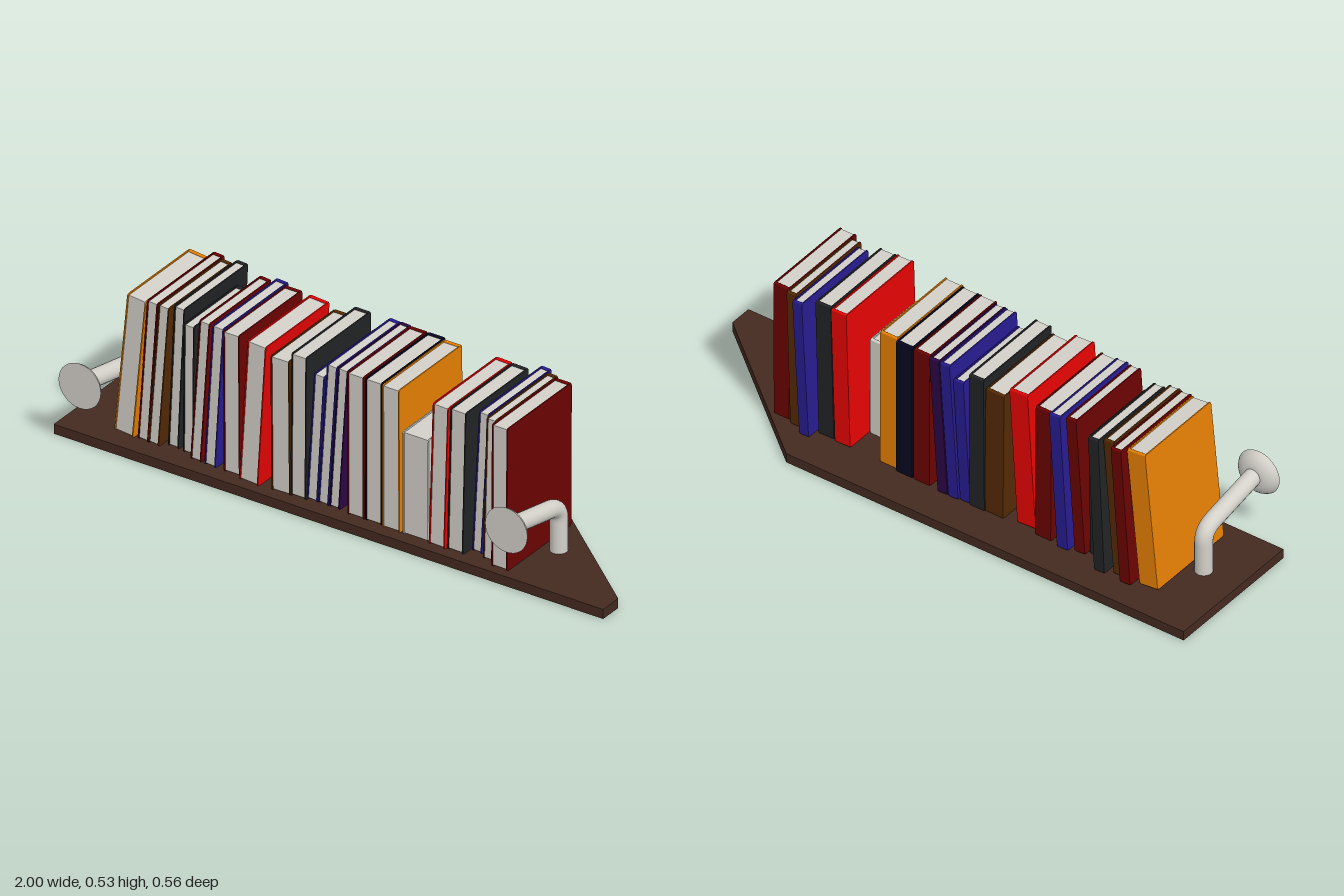
import * as THREE from 'three';
import { RoundedBoxGeometry } from 'three/addons/geometries/RoundedBoxGeometry.js';

const mat = (name, color) => {
  const m = new THREE.MeshStandardMaterial({ color });
  m.name = name;
  return m;
};

export function createModel() {
  const M = {
    wood: mat('dark wood', 0x442a20), white: mat('off white', 0xd4d1ca),
    maroon: mat('maroon', 0x6c0202), red: mat('red', 0xfa0404),
    orange: mat('orange', 0xfc8c04), brown: mat('brown', 0x552a04),
    blue: mat('blue', 0x281c90), black: mat('black', 0x222325),
    navy: mat('navy', 0x080720), purple: mat('purple', 0x2c0644),
  };
  const group = new THREE.Group();
  const add = (parent, name, geo, material, x = 0, y = 0, z = 0) => {
    const mesh = new THREE.Mesh(geo, material);
    mesh.name = name;
    mesh.position.set(x, y, z);
    parent.add(mesh);
    return mesh;
  };

  // Shelf board with one slanted corner
  const T = 0.033;
  const outline = new THREE.Shape(
    [[-1, -0.226], [1, -0.226], [1, -0.145], [0.485, 0.281], [-1, 0.281]].map(p => new THREE.Vector2(...p)));
  const board = new THREE.ExtrudeGeometry(outline, { depth: T, bevelEnabled: false });
  board.rotateX(-Math.PI / 2);
  add(group, 'shelf', board, M.wood);

  // Cover board with rounded corners, standing in the yz plane; x runs 0..t
  const coverBoard = (h, d, t, r = 0.01) => {
    const s = new THREE.Shape();
    s.moveTo(r, 0);
    s.lineTo(d - r, 0); s.quadraticCurveTo(d, 0, d, r);
    s.lineTo(d, h - r); s.quadraticCurveTo(d, h, d - r, h);
    s.lineTo(r, h); s.quadraticCurveTo(0, h, 0, h - r);
    s.lineTo(0, r); s.quadraticCurveTo(0, 0, r, 0);
    const g = new THREE.ExtrudeGeometry(s, { depth: t, bevelEnabled: false, curveSegments: 4 });
    g.rotateY(-Math.PI / 2);
    return g.translate(t, 0, 0);
  };

  // Book: two covers, a spine at the back and a page block; leans about its lower right edge
  function book(color, x0, x1, w, h, zBack, zFront) {
    const b = new THREE.Group(), d = zFront - zBack, c = 0.004;
    const cover = coverBoard(h, d, c);
    add(b, 'leftCover', cover, M[color], -w, 0, 0);
    add(b, 'rightCover', cover, M[color], -c, 0, 0);
    add(b, 'spine', new RoundedBoxGeometry(w, h, 0.012, 2, 0.004), M[color], -w / 2, h / 2, 0.006);
    add(b, 'pages', new THREE.BoxGeometry(w - 2 * c, h - 0.01, d - 0.012), M.white,
      -w / 2, h / 2, 0.008 + (d - 0.012) / 2);
    b.name = 'book';
    b.position.set(x0 + w, T + 0.001, zBack);
    b.rotation.z = -Math.atan2(x1 - x0, h);
    group.add(b);
  }

  // colour, left edge at bottom, left edge at top, width, height, back z, front z
  [
    ['orange', -0.822, -0.774, 0.068, 0.49, -0.17, 0.165],
    ['maroon', -0.738, -0.703, 0.038, 0.493, -0.197, 0.163],
    ['brown', -0.698, -0.66, 0.038, 0.493, -0.175, 0.165],
    ['black', -0.64, -0.617, 0.038, 0.493, -0.195, 0.145],
    ['black', -0.582, -0.579, 0.038, 0.446, -0.137, 0.15],
    ['maroon', -0.538, -0.505, 0.038, 0.493, -0.155, 0.175],
    ['blue', -0.485, -0.455, 0.04, 0.493, -0.17, 0.178],
    ['maroon', -0.414, -0.417, 0.059, 0.487, -0.16, 0.178],
    ['red', -0.345, -0.315, 0.068, 0.492, -0.143, 0.197],
    ['brown', -0.232, -0.236, 0.068, 0.465, -0.155, 0.19],
    ['black', -0.166, -0.163, 0.055, 0.494, -0.16, 0.185],
    ['blue', -0.112, -0.085, 0.038, 0.446, -0.157, 0.178],
    ['blue', -0.071, -0.038, 0.037, 0.493, -0.163, 0.178],
    ['purple', -0.03, 0.002, 0.036, 0.493, -0.163, 0.178],
    ['maroon', 0.041, 0.04, 0.06, 0.494, -0.157, 0.185],
    ['navy', 0.106, 0.106, 0.06, 0.494, -0.157, 0.185],
    ['orange', 0.171, 0.17, 0.063, 0.494, -0.147, 0.19],
    ['white', 0.245, 0.245, 0.096, 0.357, -0.052, 0.19],
    ['red', 0.345, 0.36, 0.057, 0.494, -0.147, 0.197],
    ['black', 0.409, 0.421, 0.057, 0.494, -0.143, 0.192],
    ['blue', 0.476, 0.502, 0.035, 0.493, -0.18, 0.158],
    ['brown', 0.529, 0.543, 0.034, 0.494, -0.155, 0.178],
    ['maroon', 0.576, 0.578, 0.057, 0.494, -0.143, 0.201],
  ].forEach(b => book(...b));

  // Bent pipe ends with a domed disc
  const path = new THREE.CurvePath();
  const P = (y, z) => new THREE.Vector3(0, y, z);
  path.add(new THREE.LineCurve3(P(0.03, 0), P(0.14, 0)));
  path.add(new THREE.CubicBezierCurve3(P(0.14, 0), P(0.175, 0), P(0.188, 0.02), P(0.195, 0.05)));
  path.add(new THREE.LineCurve3(P(0.195, 0.05), P(0.234, 0.252)));
  const pipe = new THREE.TubeGeometry(path, 48, 0.0285, 20);
  const disc = new THREE.LatheGeometry(
    [[0, 0], [0.03, 0], [0.045, 0.004], [0.06, 0.012], [0.07, 0.022], [0.077, 0.034]]
      .map(p => new THREE.Vector2(...p)), 32);
  disc.rotateX(Math.PI / 2);
  const face = new THREE.CircleGeometry(0.077, 32);
  for (const x of [-0.868, 0.685]) {
    const end = new THREE.Group();
    end.name = 'pipeBookend';
    end.position.x = x;
    add(end, 'pipe', pipe, M.white);
    add(end, 'flange', disc, M.white, 0, 0.233, 0.247);
    add(end, 'flangeFace', face, M.white, 0, 0.233, 0.281);
    group.add(end);
  }
  return group;
}
